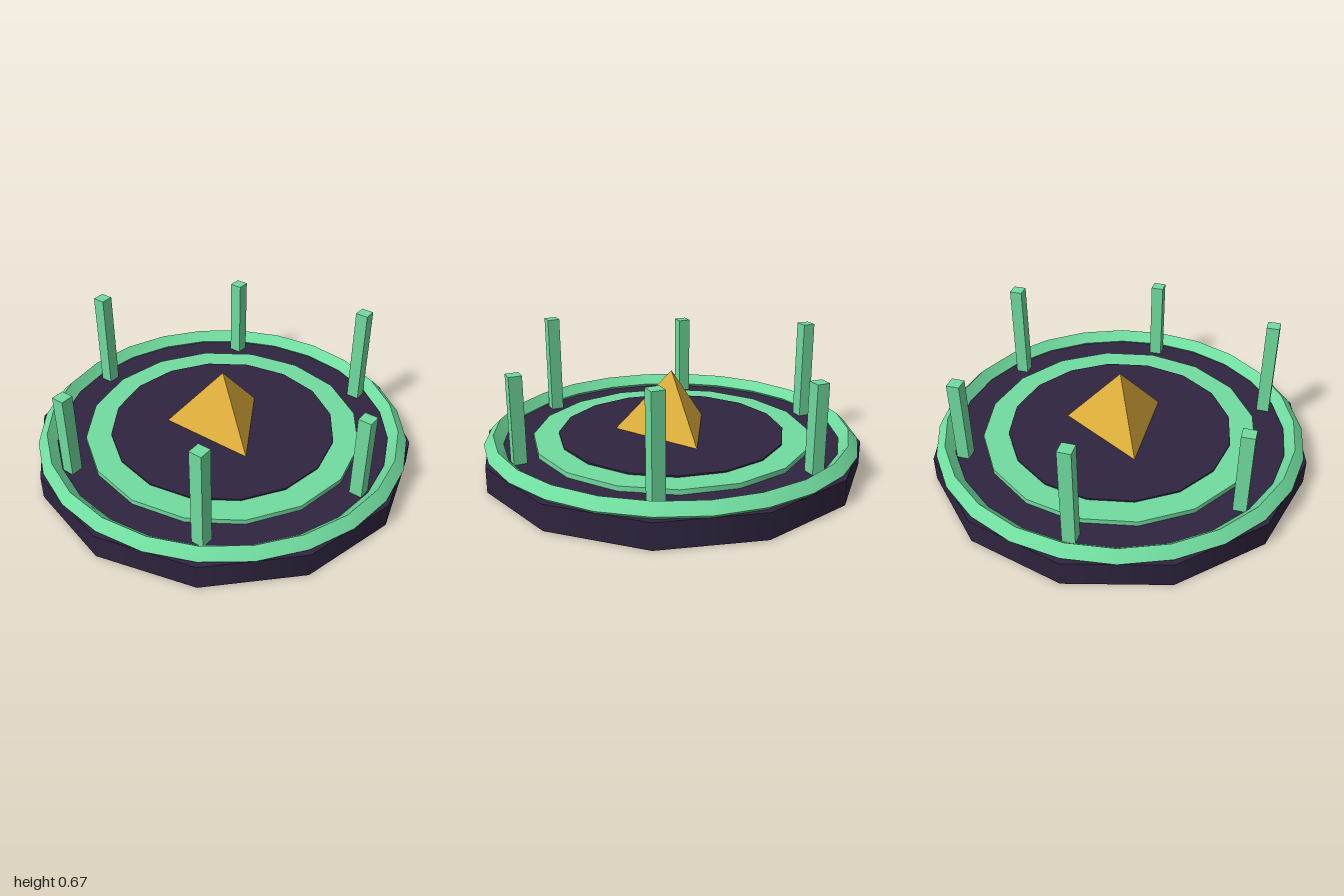
import * as THREE from 'three';
import { toCreasedNormals } from 'three/addons/utils/BufferGeometryUtils.js';

export function createModel() {
  const model = new THREE.Group();
  model.name = 'ritualPlatform';

  const material = (name, color) => {
    const m = new THREE.MeshStandardMaterial({ color });
    m.name = name;
    return m;
  };
  const dark = material('dark purple stone', 0x2f243f);
  const green = material('jade green', 0x70dc9f);
  const gold = material('gold', 0xe0b03c);

  const add = (name, geometry, mat, x = 0, y = 0, z = 0) => {
    const mesh = new THREE.Mesh(geometry, mat);
    mesh.name = name;
    mesh.position.set(x, y, z);
    model.add(mesh);
    return mesh;
  };
  // Upright disc between two heights
  const disc = (name, radius, bottom, top, sides, mat) =>
    add(name, new THREE.CylinderGeometry(radius, radius, top - bottom, sides), mat, 0, (top + bottom) / 2);

  // Stacked discs: twelve-sided base, then the green band and dark centre
  disc('base', 1, 0.001, 0.133, 12, dark);
  disc('greenBand', 0.733, 0.12, 0.159, 16, green);
  disc('centreDisc', 0.6, 0.14, 0.167, 16, dark);

  // Diamond-section rim
  const rim = new THREE.TorusGeometry(0.933, 0.05, 4, 24).rotateX(-Math.PI / 2);
  add('rim', toCreasedNormals(rim, 0.6), green, 0, 0.15);

  // Three-sided pyramid with a corner at the back
  const pyramid = new THREE.ConeGeometry(0.3, 0.333, 3).rotateY(Math.PI);
  add('pyramid', toCreasedNormals(pyramid, 0.6), gold, 0, 0.3335);

  // Six posts, alternately short and tall; the tall ones reach through the base
  for (let i = 0; i < 6; i++) {
    const angle = (i * Math.PI) / 3;
    const [bottom, top] = i % 2 ? [0, 0.667] : [0.083, 0.583];
    add(`post${i + 1}`, new THREE.BoxGeometry(0.067, top - bottom, 0.067), green,
      0.833 * Math.cos(angle), (top + bottom) / 2, 0.833 * Math.sin(angle));
  }
  return model;
}
